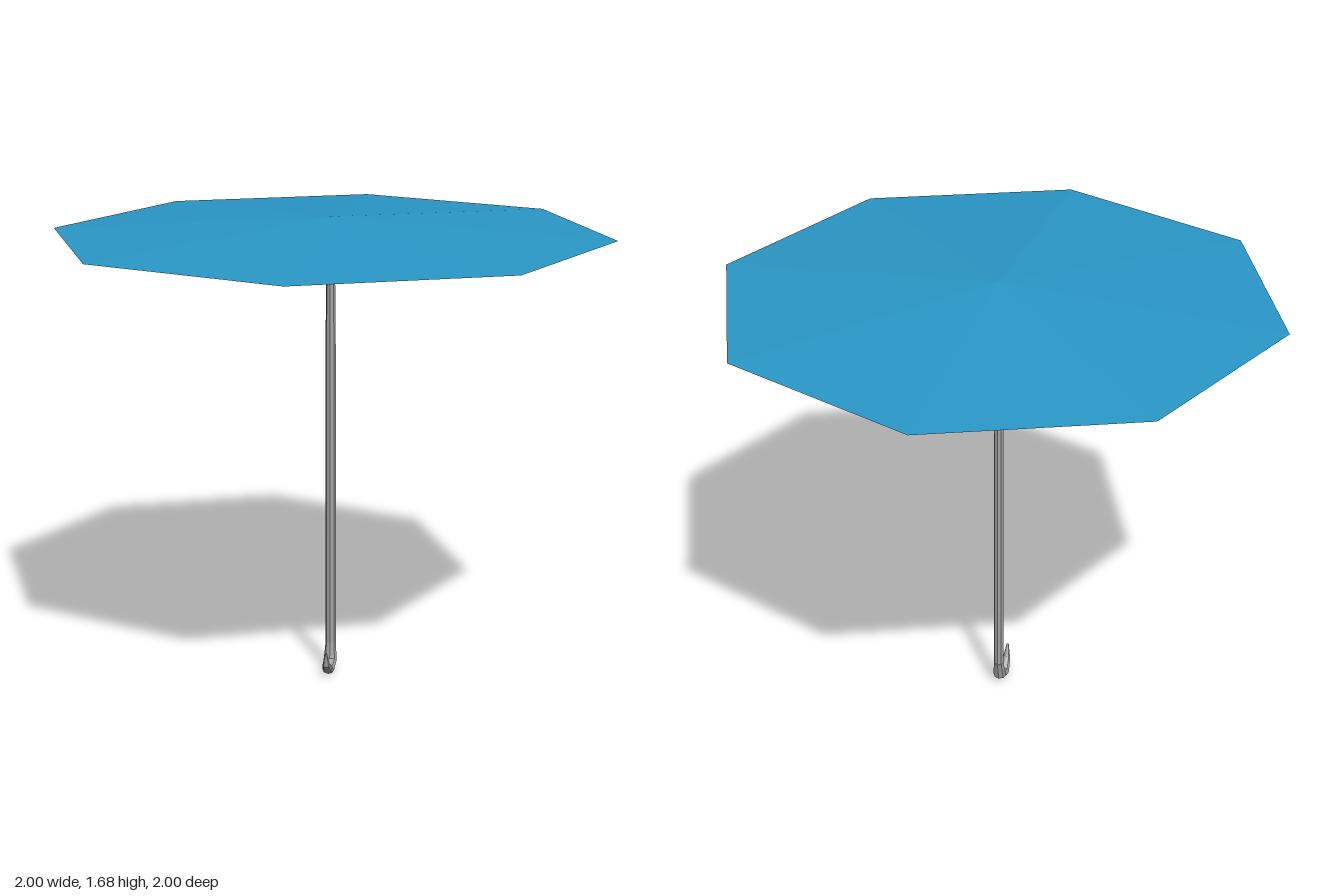
import * as THREE from 'three';

const SIDES = 8;

// Faceted tube along a path in the yz plane; each station is [y, z, radius across x, radius in plane]
function loftStem(stations) {
  const pos = [], index = [];
  const last = stations.length - 1;
  stations.forEach(([y, z, rx, rp], i) => {
    const a = stations[Math.max(i - 1, 0)], b = stations[Math.min(i + 1, last)];
    const len = Math.hypot(b[0] - a[0], b[1] - a[1]);
    const ty = (b[0] - a[0]) / len, tz = (b[1] - a[1]) / len;
    for (let j = 0; j < SIDES; j++) {
      const t = (j / SIDES) * Math.PI * 2;
      const c = Math.cos(t) * rp;
      pos.push(Math.sin(t) * rx, y - tz * c, z + ty * c);
      if (i < last) {
        const k = (j + 1) % SIDES, p = i * SIDES, q = p + SIDES;
        index.push(p + j, p + k, q + k, p + j, q + k, q + j);
      }
    }
  });
  // end caps
  for (let j = 1; j < SIDES - 1; j++) {
    const e = last * SIDES;
    index.push(0, j + 1, j, e, e + j, e + j + 1);
  }
  const g = new THREE.BufferGeometry();
  g.setAttribute('position', new THREE.Float32BufferAttribute(pos, 3));
  g.setIndex(index);
  g.computeVertexNormals();
  return g;
}

// Open eight-sided cone with its rim at y = 0
function shallowCone(height) {
  return new THREE.ConeGeometry(1, height, SIDES, 1, true).translate(0, height / 2, 0);
}

function makeMaterial(name, color) {
  const material = new THREE.MeshStandardMaterial({ color, flatShading: true });
  material.name = name;
  return material;
}

export function createModel() {
  const blue = makeMaterial('canopy blue', 0x2a98c8);
  const paleGrey = makeMaterial('lining pale grey', 0xbdbdbd);
  const grey = makeMaterial('metal grey', 0xa4a4a4);

  const model = new THREE.Group();
  model.name = 'umbrella';
  const add = (name, geometry, material, y = 0) => {
    const mesh = new THREE.Mesh(geometry, material);
    mesh.name = name;
    mesh.position.y = y;
    model.add(mesh);
  };

  const rimY = 1.62;
  add('canopyTop', shallowCone(0.063), blue, rimY);

  // Lining faces downwards, so its corner order is reversed
  const lining = shallowCone(0.02);
  lining.setIndex(Array.from(lining.index.array).reverse());
  lining.computeVertexNormals();
  add('canopyLining', lining, paleGrey, rimY);

  // Hooked handle, from its tip round to the start of the shaft
  add('handle', loftStem([
    [0.104, 0.125, 0.004, 0.003],
    [0.053, 0.11, 0.014, 0.011],
    [0.02, 0.064, 0.022, 0.018],
    [0.038, 0.013, 0.024, 0.017],
    [0.105, 0, 0.019, 0.018],
  ]), grey);

  // Straight shaft, narrowing below the canopy
  add('shaft', loftStem([
    [0.105, 0, 0.019, 0.018],
    [1.3, 0, 0.018, 0.018],
    [1.6, 0, 0.014, 0.014],
    [1.65, 0, 0.013, 0.013],
  ]), grey);

  return model;
}
